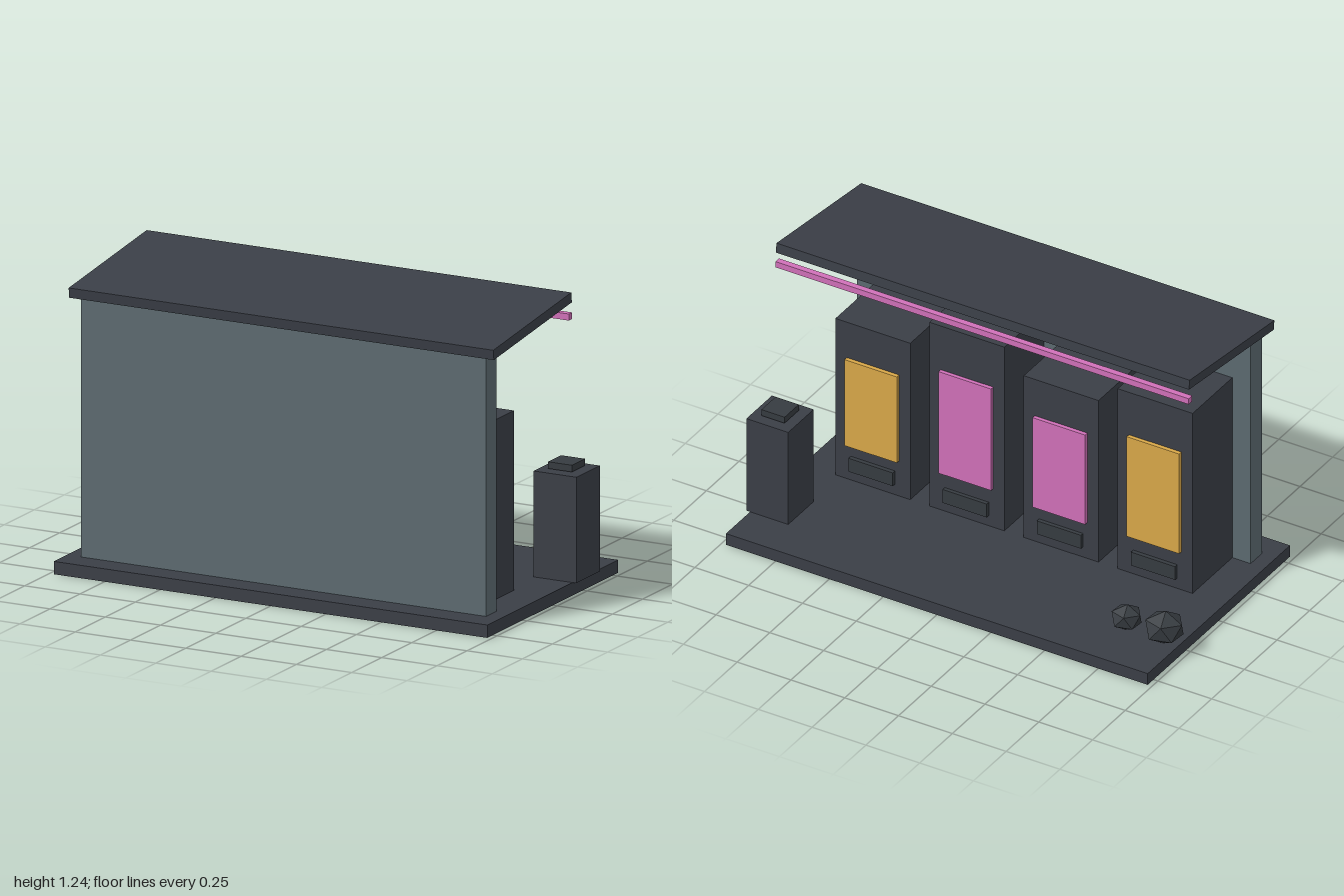
import * as THREE from 'three';

const flat = (name, color) => {
  const m = new THREE.MeshStandardMaterial({ color });
  m.name = name;
  return m;
};

export function createModel() {
  const group = new THREE.Group();
  const charcoal = flat('charcoal', 0x3a3e46);
  const trim = flat('dark trim', 0x363b40);
  const slate = flat('slate wall', 0x5c6a70);
  const pink = flat('pink glow', 0xd070b8);
  const amber = flat('amber glow', 0xd9a848);

  // Box given by its limits on each axis
  const box = (name, mat, [x0, x1], [y0, y1], [z0, z1], parent = group) => {
    const mesh = new THREE.Mesh(new THREE.BoxGeometry(x1 - x0, y1 - y0, z1 - z0), mat);
    mesh.position.set((x0 + x1) / 2, (y0 + y1) / 2, (z0 + z1) / 2);
    mesh.name = name;
    parent.add(mesh);
    return mesh;
  };

  // Shelter: floor slab, wall, sloping roof and light strip
  box('floorSlab', charcoal, [-0.98, 0.98], [0, 0.053], [-0.545, 0.545]);
  box('shelterWall', slate, [-0.915, 0.915], [0.053, 1.135], [0.35, 0.436]);
  const roof = box('roof', charcoal, [-0.96, 0.96], [1.16, 1.202], [-0.196, 0.458]);
  roof.rotation.x = 0.12;
  box('lightStrip', pink, [-0.96, 0.96], [1.13, 1.157], [-0.198, -0.171]);

  // Row of vending machines facing away from the wall
  const machines = [
    { x: 0.656, top: 0.795, screen: [0.219, 0.627], glow: amber },
    { x: 0.219, top: 0.925, screen: [0.236, 0.718], glow: pink },
    { x: -0.219, top: 0.82, screen: [0.223, 0.648], glow: pink },
    { x: -0.656, top: 0.907, screen: [0.233, 0.706], glow: amber },
  ];
  for (const { x, top, screen, glow } of machines) {
    const machine = new THREE.Group();
    machine.name = 'vendingMachine';
    const span = (w) => [x - w / 2, x + w / 2];
    box('machineBody', charcoal, span(0.348), [0.053, top], [0.046, 0.35], machine);
    box('machineScreen', glow, span(0.244), screen, [0.029, 0.046], machine);
    box('dispenserSlot', trim, span(0.205), [0.102, 0.165], [0.029, 0.046], machine);
    group.add(machine);
  }

  // Waste bin with a raised lid
  box('binBody', charcoal, [0.803, 0.997], [0.053, 0.49], [-0.36, -0.165]);
  box('binLid', trim, [0.846, 0.954], [0.495, 0.523], [-0.317, -0.208]);

  // Faceted rubbish bags
  for (const [x, y, r] of [[-0.914, 0.12, 0.088], [-0.738, 0.108, 0.069]]) {
    const geo = new THREE.IcosahedronGeometry(r, 0);
    geo.rotateZ(0.553).rotateX(0.12).scale(1, 0.8, 1);
    geo.computeVertexNormals();
    const bag = new THREE.Mesh(geo, trim);
    bag.position.set(x, y, -0.308);
    bag.name = 'rubbishBag';
    group.add(bag);
  }

  return group;
}
